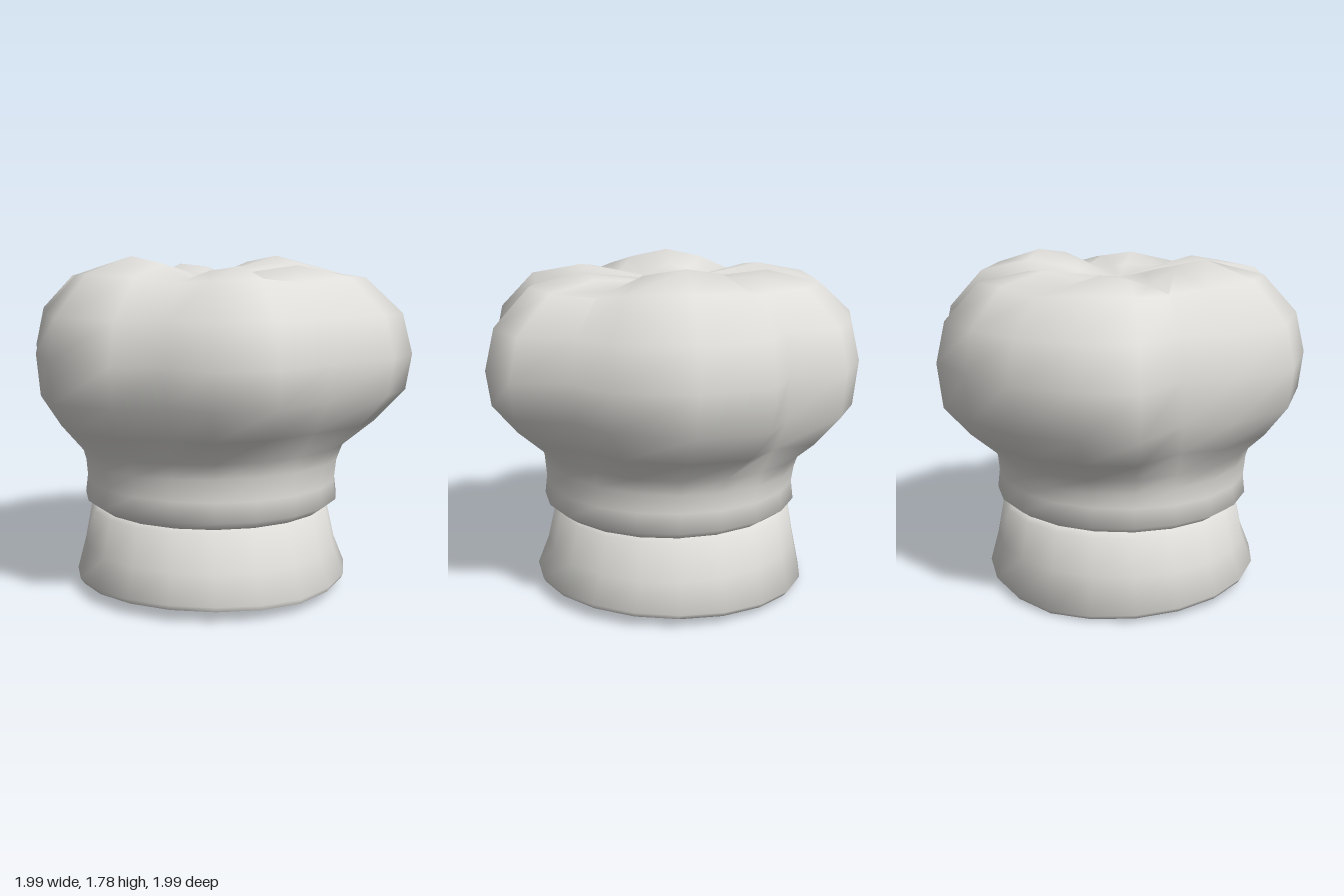
import * as THREE from 'three';
import { toCreasedNormals } from 'three/addons/utils/BufferGeometryUtils.js';

// Lobed outline of the puff at its widest: x, z, ridge height (0 = fold, 1 = crest)
const OUTLINE = [
  [0.95, 0, 0], [0.97, -0.41, 0.6], [0.83, -0.7, 0.4], [0.54, -0.73, 0], [0.38, -0.92, 0.7],
  [-0.03, -1, 1], [-0.4, -0.88, 0.7], [-0.51, -0.63, 0], [-0.8, -0.59, 0.45], [-0.93, -0.31, 0.6],
  [-1, 0, 0], [-0.95, 0.34, 0.6], [-0.83, 0.6, 0.45], [-0.48, 0.64, 0], [-0.36, 0.85, 0.7],
  [0.02, 0.99, 1], [0.42, 0.89, 0.7], [0.58, 0.68, 0], [0.86, 0.64, 0.4], [0.99, 0.35, 0.6],
];
const N = OUTLINE.length;

// Skins rings listed from bottom to top and closes both ends with a fan
function loft(rings, bottom, top, crease) {
  const pos = [...rings.flat(2), ...bottom, ...top];
  const index = [];
  const last = (rings.length - 1) * N;
  const b = rings.length * N;
  for (let i = 0; i < N; i++) {
    const j = (i + 1) % N;
    for (let k = 0; k < last; k += N) {
      index.push(k + i, k + j, k + N + j, k + i, k + N + j, k + N + i);
    }
    index.push(b, j, i, b + 1, last + i, last + j);
  }
  const geo = new THREE.BufferGeometry();
  geo.setAttribute('position', new THREE.Float32BufferAttribute(pos, 3));
  geo.setIndex(index);
  return toCreasedNormals(geo, crease);
}

// Circle sampled at even angles, with height changed by a rule
function circle(cx, r, height) {
  return OUTLINE.map((_, i) => {
    const a = (i / N) * Math.PI * 2;
    const x = cx + r * Math.cos(a);
    const z = -r * Math.sin(a);
    return [x, height(x, z), z];
  });
}

// Headband: flared and slightly tilted at the hem
function headband() {
  const hem = (y) => (x, z) => y + 0.035 * x + 0.04 * Math.abs(z);
  const rings = [
    circle(0.035, 0.725, hem(0.028)),
    circle(0.03, 0.742, hem(0.055)),
    circle(0.02, 0.69, () => 0.24),
    circle(0.015, 0.65, () => 0.435),
    circle(0.015, 0.62, () => 0.46),
  ];
  return loft(rings, [0.03, 0.04, 0], [0, 0.46, 0], 1.0);
}

// Puff: a round collar swelling into the lobed outline, gathered at the crown
function puff() {
  // height, collar radius, share of lobed outline
  const sides = [
    [0.452, 0.625, 0], [0.5, 0.69, 0], [0.6, 0.678, 0], [0.7, 0.683, 0.02], [0.78, 0.69, 0.08],
    [0.91, 0.69, 0.52], [1.07, 0.7, 0.92], [1.28, 0.7, 1],
  ].map(([y, r, w]) =>
    circle(0.03, r, () => y).map(([x, , z], i) => {
      const [ox, oz] = OUTLINE[i];
      const px = x + (ox - x) * w;
      return [px, y + 0.03 * px * (y > 0.65 && y < 1.2 ? 1 : 0), z + (oz - z) * w];
    }));
  // height, scale of outline, lift of the crests
  const crown = [
    [1.49, 0.95, 0], [1.655, 0.77, 0.04], [1.665, 0.5, 0.115], [1.66, 0.24, 0.06],
  ].map(([y, s, lift]) => OUTLINE.map(([x, z, h]) => [x * s, y + lift * h, z * s]));
  return loft([...sides, ...crown], [0, 0.452, 0], [0, 1.66, 0], 1.2);
}

export function createModel() {
  const cloth = new THREE.MeshStandardMaterial({ color: 0xdfdeda });
  cloth.name = 'off-white cloth';

  const group = new THREE.Group();
  group.name = 'chefHat';
  for (const [name, geo] of [['headband', headband()], ['puff', puff()]]) {
    const mesh = new THREE.Mesh(geo, cloth);
    mesh.name = name;
    group.add(mesh);
  }
  return group;
}
